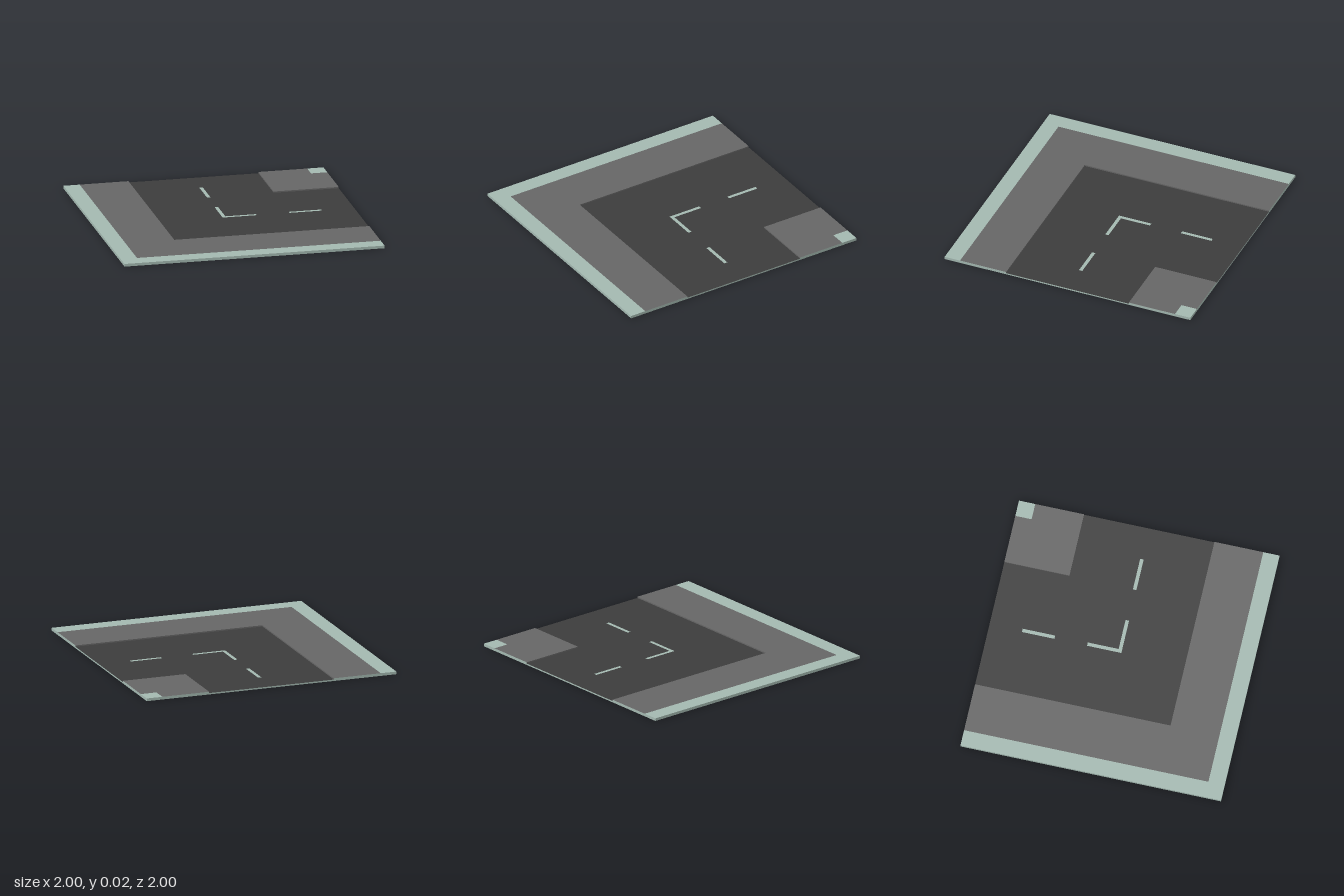
import * as THREE from 'three';

const ROAD_Y = 0.011, TOP_Y = 0.021;
const mat = (color) => new THREE.MeshStandardMaterial({ color, flatShading: true, side: THREE.DoubleSide });

export function createModel() {
  const group = new THREE.Group();
  const stone = mat(0xa3b8b0), pavement = mat(0x666666), asphalt = mat(0x3c3c3c);

  const add = (name, geometry, material) => {
    const mesh = new THREE.Mesh(geometry, material);
    mesh.name = name;
    group.add(mesh);
    return mesh;
  };
  const toVectors = (points) => points.map(([x, z]) => new THREE.Vector2(x, -z));

  // Flat horizontal surface from an [x, z] outline, with optional holes
  const flat = (name, points, y, material, holes = []) => {
    const shape = new THREE.Shape(toVectors(points));
    shape.holes = holes.map((h) => new THREE.Path(toVectors(h)));
    add(name, new THREE.ShapeGeometry(shape).rotateX(-Math.PI / 2).translate(0, y, 0), material);
  };

  // Upright strip between two [x, z] points, facing outward
  const wall = (name, [ax, az], [bx, bz], y0, y1, material) => {
    const length = Math.hypot(bx - ax, bz - az);
    const mesh = add(name, new THREE.PlaneGeometry(length, y1 - y0), material);
    mesh.position.set((ax + bx) / 2, (y0 + y1) / 2, (az + bz) / 2);
    mesh.rotation.y = -Math.atan2(bz - az, bx - ax);
  };

  // L-shaped band running along the left and front, from offset a to offset b
  const band = (a, b) => [[-a, -1], [-a, a], [1, a], [1, b], [-b, b], [-b, -1]];
  const rect = (x0, z0, x1, z1) => [[x0, z0], [x0, z1], [x1, z1], [x1, z0]];

  // Raised outer corner
  flat('outerBorder', band(1, 0.875), TOP_Y, stone);
  flat('outerSidewalk', band(0.875, 0.5), TOP_Y, pavement);

  // Raised inner corner
  flat('innerBorder', rect(0.875, -1, 1, -0.875), TOP_Y, stone);
  flat('innerSidewalk', [[0.5, -1], [0.5, -0.5], [1, -0.5], [1, -0.875], [0.875, -0.875], [0.875, -1]], TOP_Y, pavement);

  // Lane markings set flush into the road
  const w = 0.0135;
  const markings = [
    rect(-w, -0.75, w, -0.5),
    rect(0.5, -w, 0.75, w),
    [[-w, -0.25], [-w, w], [0.25, w], [0.25, -w], [w, -w], [w, -0.25]],
  ];
  flat('road', [[-0.5, -1], [-0.5, 0.5], [1, 0.5], [1, -0.5], [0.5, -0.5], [0.5, -1]], ROAD_Y, asphalt, markings);
  markings.forEach((m) => flat('laneMarking', m, ROAD_Y, stone));

  // Kerb faces stepping down to the road
  const kerbs = [
    [[1, 0.5], [-0.5, 0.5]], [[-0.5, 0.5], [-0.5, -1]],
    [[0.5, -1], [0.5, -0.5]], [[0.5, -0.5], [1, -0.5]],
  ];
  kerbs.forEach(([a, b]) => wall('kerb', a, b, ROAD_Y, TOP_Y, pavement));

  // Outer sides of the slab, lower where the road leaves the tile
  const rim = [[-1, 1], [1, 1], [1, 0.5], [1, -0.5], [1, -1], [0.5, -1], [-0.5, -1], [-1, -1]];
  rim.forEach((a, i) => {
    const top = i === 2 || i === 5 ? ROAD_Y : TOP_Y;
    wall('slabSide', a, rim[(i + 1) % rim.length], 0, top, stone);
  });

  // Underside
  add('slabBottom', new THREE.PlaneGeometry(2, 2).rotateX(Math.PI / 2), stone);
  return group;
}
